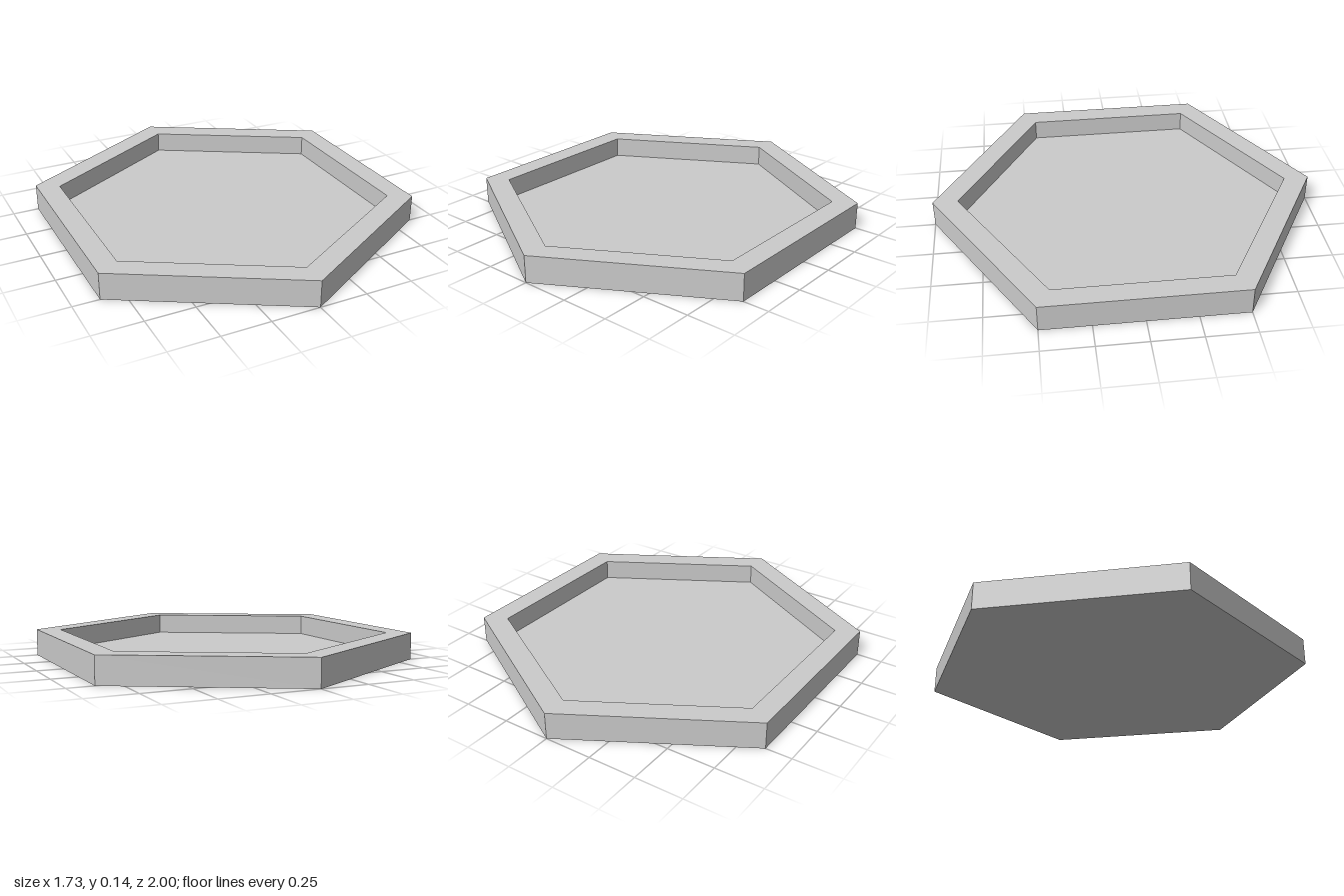
import * as THREE from 'three';

const SIDES = 6;
const OUTER = 1;      // corner radius of the tray
const INNER = 0.87;   // corner radius of the recess
const HEIGHT = 0.14;
const FLOOR = 0.033;  // thickness of the tray floor

export function createModel() {
  const group = new THREE.Group();
  group.name = 'hexagonalTray';

  // Cross-section: underside, outer wall, rim, inner wall, recessed floor
  const profile = [
    [0, 0], [OUTER, 0], [OUTER, HEIGHT], [INNER, HEIGHT], [INNER, FLOOR], [0, FLOOR],
  ].map(([r, y]) => new THREE.Vector2(r, y));

  // Six-sided revolution with a corner pointing to the front
  const geometry = new THREE.LatheGeometry(profile, SIDES).toNonIndexed();
  geometry.computeVertexNormals();

  const material = new THREE.MeshStandardMaterial({ color: 0xcccccc, flatShading: true });
  const tray = new THREE.Mesh(geometry, material);
  tray.name = 'tray';
  group.add(tray);

  return group;
}
